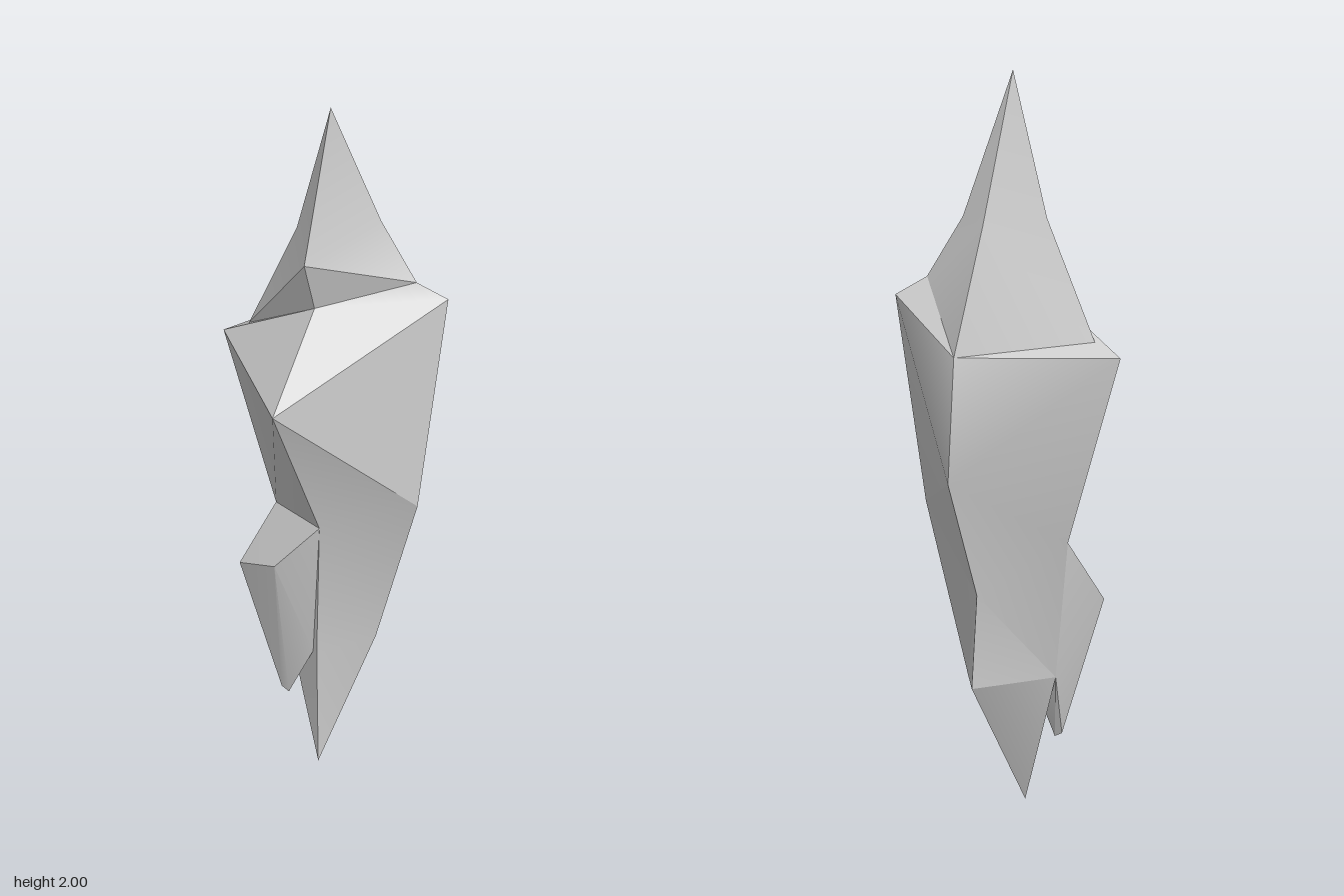
import * as THREE from 'three';
import { toCreasedNormals } from 'three/addons/utils/BufferGeometryUtils.js';
import { ConvexGeometry } from 'three/addons/geometries/ConvexGeometry.js';

const material = new THREE.MeshStandardMaterial({ color: 0xcccccc });

// Four-sided crystal: rings of [front, left, back, right] corners between two tips
function crystalGeometry(top, rings, bottom) {
  const rows = [Array(4).fill(top), ...rings, Array(4).fill(bottom)];
  const positions = [];
  const tri = (...corners) => corners.forEach((p) => positions.push(...p));
  for (let r = 0; r < rows.length - 1; r++) {
    for (let i = 0; i < 4; i++) {
      const j = (i + 1) % 4;
      const a = rows[r][i], b = rows[r][j], c = rows[r + 1][i], d = rows[r + 1][j];
      if (r === 0) tri(a, c, d);
      else if (r === rows.length - 2) tri(a, c, b);
      // Diagonals start at the front and back ridges
      else if (i % 2 === 0) tri(a, c, d, a, d, b);
      else tri(a, c, b, b, c, d);
    }
  }
  const geometry = new THREE.BufferGeometry();
  geometry.setAttribute('position', new THREE.Float32BufferAttribute(positions, 3));
  geometry.computeVertexNormals();
  return toCreasedNormals(geometry, 0.4);
}

export function createModel() {
  const group = new THREE.Group();
  group.name = 'crystalShard';

  // Main body, tip to tip
  const rings = [
    [[0.015, 1.6, 0.21], [0.115, 1.61, -0.08], [0.015, 1.6, -0.18], [-0.085, 1.6, 0.03]],
    [[0.015, 1.43, 0.14], [0.22, 1.44, -0.08], [0.015, 1.27, -0.38], [-0.225, 1.27, 0.03]],
    [[0.015, 1.24, 0.425], [0.3, 1.39, -0.11], [0.015, 0.93, -0.42], [-0.3, 1.23, 0.03]],
    [[0.04, 0.76, 0.165], [0.27, 0.81, 0.03], [0.015, 0.6, -0.22], [-0.15, 0.72, 0.02]],
    [[0.015, 0.34, 0.125], [0.13, 0.35, -0.01], [0.015, 0.35, -0.255], [-0.11, 0.35, 0.03]],
  ];
  const body = new THREE.Mesh(
    crystalGeometry([0.015, 2, 0.03], rings, [0.015, 0, 0.115]), material);
  body.name = 'body';
  group.add(body);

  // Small splinter on the lower right of the front
  const corners = [
    [0.04, 0.76, 0.165], [-0.15, 0.72, 0.02],
    [-0.22, 0.56, 0.105], [-0.085, 0.62, 0.182],
    [0, 0.34, 0.115], [-0.11, 0.35, 0.03],
    [-0.105, 0.19, 0.085], [-0.082, 0.18, 0.09],
  ].map((p) => new THREE.Vector3(...p));
  const splinter = new THREE.Mesh(toCreasedNormals(new ConvexGeometry(corners), 0.4), material);
  splinter.name = 'splinter';
  group.add(splinter);

  return group;
}
